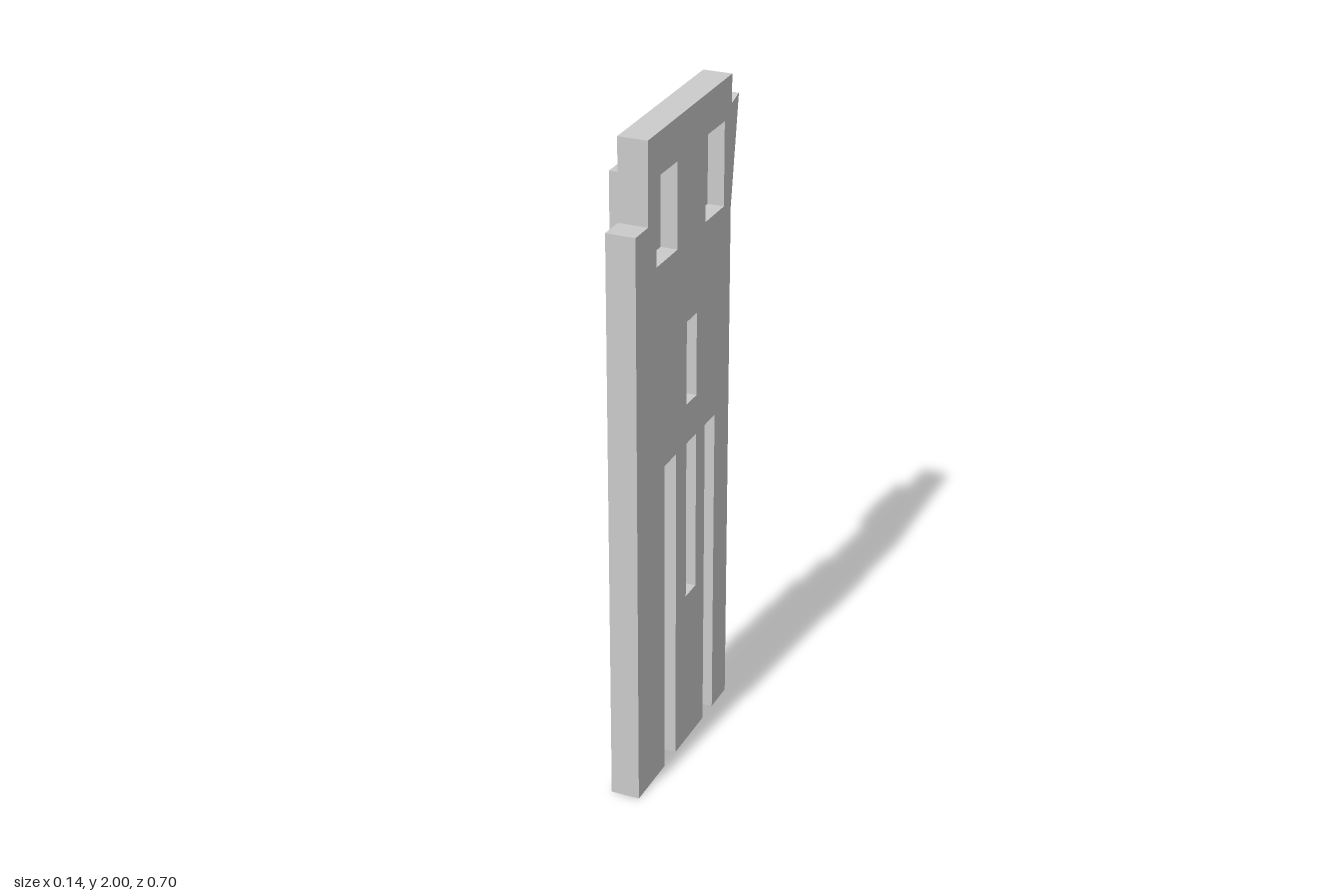
import * as THREE from 'three';

const BACK = -0.02, FRONT = 0.067, THICK = FRONT - BACK, PUSH = 0.05;

// Pressed panels: [zMin, zMax, yMin, yMax]
const windows = [[0.082, 0.22, 1.617, 1.87], [-0.24, -0.11, 1.627, 1.878]];
const shortSlots = [[-0.053, 0.017, 1.122, 1.377], [-0.053, 0.017, 0.5, 1]];
const longSlots = [[0.089, 0.168, 0, 1], [-0.187, -0.115, 0, 1]];

const material = new THREE.MeshStandardMaterial({ color: 0xcccccc, flatShading: true });

// Extrudes a [z, y] outline along x, starting at the back of the plate
function slab(name, outline, holes = []) {
  const toPoints = (list) => list.map(([z, y]) => new THREE.Vector2(-z, y));
  const shape = new THREE.Shape(toPoints(outline));
  for (const h of holes) shape.holes.push(new THREE.Path(toPoints(h)));
  const geometry = new THREE.ExtrudeGeometry(shape, { depth: THICK, bevelEnabled: false });
  geometry.rotateY(Math.PI / 2).translate(BACK, 0, 0);
  const mesh = new THREE.Mesh(geometry, material);
  mesh.name = name;
  return mesh;
}

const rect = ([z0, z1, y0, y1]) => [[z0, y0], [z1, y0], [z1, y1], [z0, y1]];

export function createModel() {
  const group = new THREE.Group();
  group.name = 'panel';

  // Main plate, stepped at the top, with the long slots open at the foot
  const notches = longSlots.flatMap(([z0, z1, y0, y1]) => [[z1, y0], [z1, y1], [z0, y1], [z0, y0]]);
  const outline = [
    [0.352, 0], ...notches, [-0.29, 0], [-0.29, 2],
    [0.273, 1.99], [0.273, 1.75], [0.352, 1.75],
  ];
  group.add(slab('plate', outline, [...windows, ...shortSlots].map(rect)));

  // Panels pressed through the plate: recessed on one face, raised on the other
  const addPressed = (name, list) => list.forEach((r) => {
    const panel = slab(name, rect(r));
    panel.position.x = -PUSH;
    group.add(panel);
  });
  addPressed('windowPanel', windows);
  addPressed('shortSlotPanel', shortSlots);
  addPressed('longSlotPanel', longSlots);

  // Wedge-shaped flap on the rear edge, leaning slightly sideways
  const flap = slab('edgeFlap', [[-0.29, 1.606], [-0.352, 1.925], [-0.29, 1.915]]);
  const p = flap.geometry.attributes.position;
  for (let i = 0; i < p.count; i++) p.setX(i, p.getX(i) + (p.getZ(i) + 0.29) * 0.08);
  flap.geometry.computeVertexNormals();
  group.add(flap);

  return group;
}
